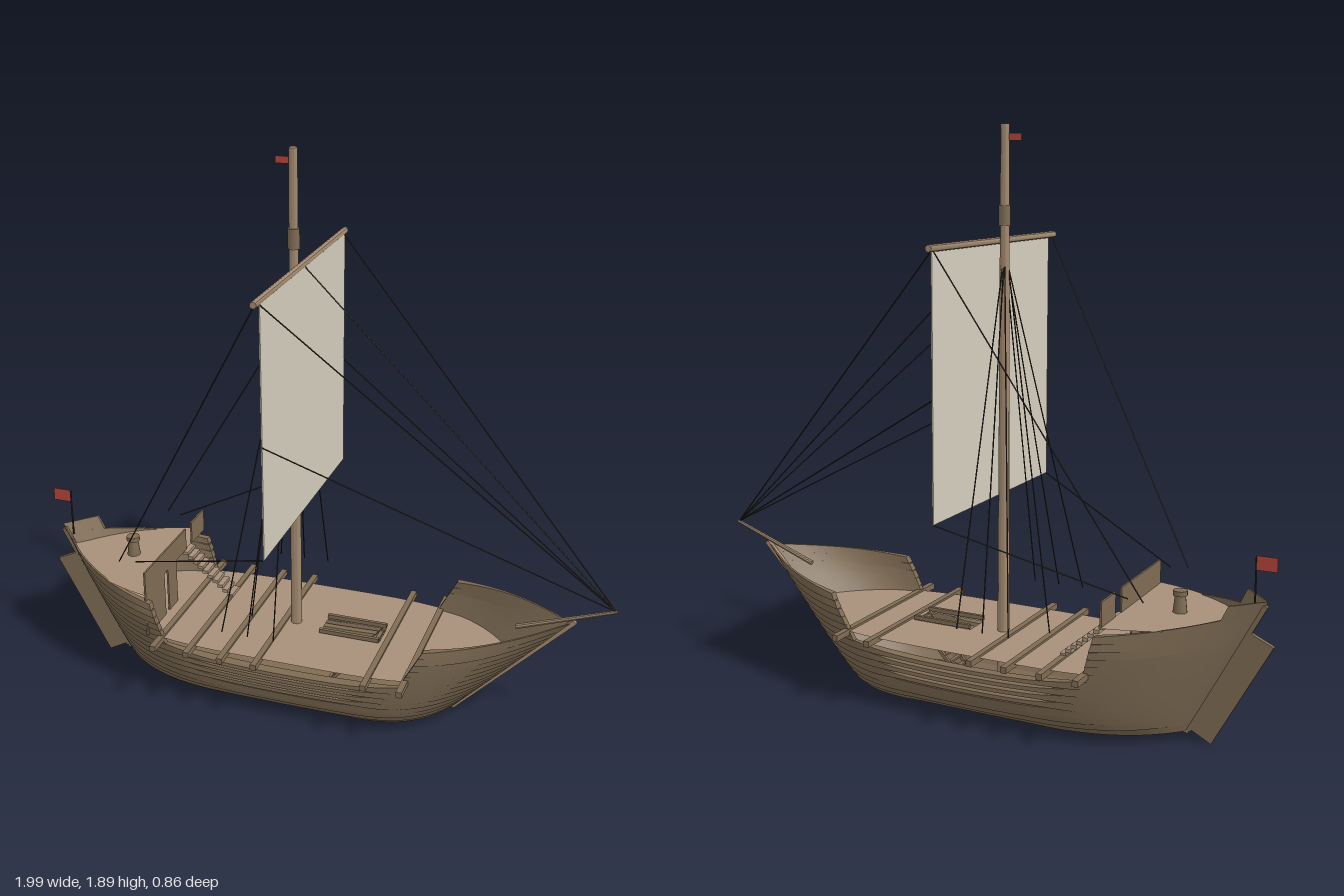
import * as THREE from 'three';
import { toCreasedNormals } from 'three/addons/utils/BufferGeometryUtils.js';

const mat = (name, color) => {
  const m = new THREE.MeshStandardMaterial({ color, side: THREE.DoubleSide });
  m.name = name;
  return m;
};

// Hull form: half-breadth, stem and stern rake, as functions of height
const CX = -0.05;
const bowX = y => 0.48 + 0.95 * (y - 0.03);
const sternX = y => -0.74 - 0.52 * (y - 0.03);
const breadth = y => 0.18 + 0.105 * Math.sqrt(Math.min(1, Math.max(0, (y - 0.03) / 0.3)));
function hullPoint(t, y) {
  const end = t > 0 ? bowX(y) : sternX(y);
  const p = t > 0 ? 5.6 - 5 * y : 4.3;
  const a = Math.abs(t);
  return [CX + a * (end - CX), y, breadth(y) * (1 - Math.pow(a, p))];
}

// Skin a list of equal-length closed rings
function loft(rings) {
  const n = rings[0].length, pos = rings.flat(2), idx = [];
  for (let i = 0; i < rings.length - 1; i++)
    for (let j = 0; j < n; j++) {
      const a = i * n + j, b = i * n + (j + 1) % n;
      idx.push(a, a + n, b, b, a + n, b + n);
    }
  const last = (rings.length - 1) * n;
  for (let j = 1; j < n - 1; j++) idx.push(0, j, j + 1, last, last + j + 1, last + j);
  const g = new THREE.BufferGeometry();
  g.setAttribute('position', new THREE.Float32BufferAttribute(pos, 3));
  g.setIndex(idx);
  return toCreasedNormals(g, 0.5);
}

// One plank between two stations; centre height, plank height and depth vary along it
function plank(t0, t1, side, yAt, hAt, dAt) {
  const rings = [], steps = Math.ceil((t1 - t0) * 24);
  for (let k = 0; k <= steps; k++) {
    const t = t0 + (t1 - t0) * k / steps, y = yAt(t), h = hAt(t), d = dAt(t);
    const lo = hullPoint(t, y - h / 2), hi = hullPoint(t, y + h / 2);
    const ring = [
      lo, [hi[0], hi[1], Math.max(0, hi[2] - 0.004)],
      [hi[0], hi[1], Math.max(0, hi[2] - d)], [lo[0], lo[1], Math.max(0, lo[2] - d)],
    ].map(p => [p[0], p[1], p[2] * side]);
    rings.push(side > 0 ? ring : ring.reverse());
  }
  return loft(rings);
}

// Flat deck following the hull outline at height y
function deckGeometry(y, t0, t1, hole) {
  const pts = [];
  for (let k = 0; k <= 48; k++) {
    const p = hullPoint(t0 + (t1 - t0) * k / 48, y);
    pts.push(new THREE.Vector2(p[0], Math.max(0, p[2] - 0.004)));
  }
  const lower = pts.map(p => new THREE.Vector2(p.x, -p.y)).reverse();
  const shape = new THREE.Shape([...pts, ...lower]);
  if (hole) shape.holes.push(new THREE.Path(hole.map(p => new THREE.Vector2(...p))));
  return new THREE.ShapeGeometry(shape).rotateX(-Math.PI / 2).translate(0, y, 0);
}

export function createModel() {
  const ship = new THREE.Group();
  ship.name = 'sailingShip';
  const hullWood = mat('hull wood', 0x7f6c54);
  const deckWood = mat('deck wood', 0xa8917a);
  const sparWood = mat('spar wood', 0xa28a70);
  const sailCloth = mat('sail cloth', 0xd6cfbe);
  const rope = mat('rope', 0x2e2822);
  const red = mat('flag red', 0xb5443a);

  const add = (name, geo, material, x = 0, y = 0, z = 0) => {
    const m = new THREE.Mesh(geo, material);
    m.name = name;
    m.position.set(x, y, z);
    ship.add(m);
    return m;
  };
  const box = (name, w, h, d, material, x, y, z) =>
    add(name, new THREE.BoxGeometry(w, h, d), material, x, y, z);
  // Round or square bar between two points
  const bar = (name, a, b, r, material, sides = 8, r2 = r) => {
    const A = new THREE.Vector3(...a), B = new THREE.Vector3(...b), dir = B.clone().sub(A);
    const g = new THREE.CylinderGeometry(r2, r, dir.length(), sides);
    if (sides === 4) g.rotateY(Math.PI / 4);
    const m = add(name, toCreasedNormals(g, 0.9), material);
    m.position.copy(A).add(B).multiplyScalar(0.5);
    m.quaternion.setFromUnitVectors(new THREE.Vector3(0, 1, 0), dir.normalize());
    return m;
  };

  // Hull planking: low planks are tight, upper ones open amidships, topmost only at the ends
  const smooth = THREE.MathUtils.smoothstep;
  for (let i = 0; i < 14; i++) {
    const mid = i < 4 ? 0.04 + 0.0165 * i : 0.015 + 0.025 * i;
    const yAt = t => {
      const end = 0.044 + (t > 0 ? 0.028 : 0.0305) * i;
      return mid + (end - mid) * t * t;
    };
    const midHeight = i < 4 ? 0.026 : 0.013;
    const blend = t => smooth(Math.abs(t), 0.3, 0.48 + 0.026 * i);
    const hAt = t => midHeight + (0.033 - midHeight) * blend(t);
    const dAt = t => 0.04 - 0.028 * blend(t);
    const spans = i < 8 ? [[-1, 1]] : [[-1, -0.54], [0.55, 1]];
    for (const side of [1, -1])
      for (const [a, b] of spans) add('hullPlank', plank(a, b, side, yAt, hAt, dAt), hullWood);
  }
  for (const side of [1, -1])
    add('sternBulwark', plank(-1, -0.9, side, () => 0.455, () => 0.06, () => 0.012), hullWood);
  add('hullBottom', deckGeometry(0.032, -1, 1), hullWood);

  // Keel, stem, sternpost and rudder
  bar('keel', [-0.74, 0.03, 0], [0.48, 0.03, 0], 0.011, sparWood, 4);
  bar('stem', [0.475, 0.03, 0], [0.86, 0.43, 0], 0.011, sparWood, 4);
  bar('sternpost', [-0.74, 0.03, 0], [-0.97, 0.47, 0], 0.011, hullWood, 4);
  const rudder = new THREE.Shape([[-1, 0.345], [-0.925, 0.38], [-0.74, 0.04], [-0.815, 0]]
    .map(p => new THREE.Vector2(...p)));
  add('rudder', new THREE.ExtrudeGeometry(rudder, { depth: 0.016, bevelEnabled: false }),
    hullWood, 0, 0, -0.008);

  // Decks and through-beams
  add('mainDeck', deckGeometry(0.25, -1, 1,
    [[0.01, -0.045], [0.22, -0.045], [0.22, 0.045], [0.01, 0.045]]), deckWood);
  const aftStart = -(-0.54 - CX) / (sternX(0.41) - CX);
  add('aftDeck', deckGeometry(0.41, -1, aftStart), deckWood);
  for (const x of [-0.49, -0.37, -0.25, -0.13, 0.245, 0.365])
    box('deckBeam', 0.02, 0.02, 0.64, hullWood, x, 0.247, 0);

  // Hatch with ladder below
  for (const z of [-0.05, 0.05]) {
    box('hatchCoaming', 0.21, 0.014, 0.012, hullWood, 0.115, 0.262, z);
    bar('hatchLadderRail', [0.215, 0.255, z * 0.8], [0.03, 0.045, z * 0.8], 0.008, hullWood, 4);
  }
  for (let k = 0; k < 10; k++)
    box('hatchLadderTread', 0.014, 0.006, 0.08, hullWood, 0.04 + k * 0.0185, 0.056 + k * 0.021, 0);

  // Aft castle: rail panels, bulkhead and stairs
  const panel = (name, z0, z1, y0, y1) =>
    box(name, 0.006, y1 - y0, Math.abs(z1 - z0), hullWood, -0.54, (y0 + y1) / 2, (z0 + z1) / 2);
  panel('aftRail', 0.25, -0.09, 0.41, 0.49);
  panel('aftRail', -0.14, -0.25, 0.41, 0.49);
  panel('bulkhead', 0.25, 0.1, 0.25, 0.41);
  panel('bulkhead', 0.07, 0, 0.25, 0.41);
  for (let k = 0; k < 10; k++)
    box('stairTread', 0.02, 0.012, 0.065, deckWood, -0.535 + k * 0.0185, 0.4 - k * 0.0158, -0.107);

  // Capstan
  add('capstan', new THREE.CylinderGeometry(0.017, 0.023, 0.055, 12), hullWood, -0.7, 0.437, 0);
  add('capstanHead', new THREE.CylinderGeometry(0.023, 0.023, 0.016, 12), hullWood, -0.7, 0.472, 0);

  // Mast, yard, bowsprit and sail
  bar('mast', [-0.09, 0.08, 0], [-0.09, 1.89, 0], 0.02, sparWood, 12, 0.014);
  add('mastCollar', new THREE.CylinderGeometry(0.02, 0.02, 0.065, 8), hullWood, -0.09, 1.61, 0);
  bar('yard', [-0.06, 1.53, -0.43], [-0.06, 1.53, 0.43], 0.011, sparWood);
  bar('bowsprit', [0.67, 0.375, 0], [0.99, 0.49, 0], 0.009, sparWood, 8, 0.006);
  box('sail', 0.004, 0.825, 0.8, sailCloth, -0.053, 1.1125, 0);

  // Flags
  bar('flagpole', [-0.935, 0.45, 0], [-0.935, 0.62, 0], 0.003, rope, 6);
  box('sternFlag', 0.065, 0.045, 0.003, red, -0.968, 0.6, 0);
  box('mastFlag', 0.05, 0.022, 0.003, red, -0.122, 1.85, 0);

  // Rigging
  const line = (name, a, b) => bar(name, a, b, 0.0022, rope, 5);
  line('forestay', [-0.06, 1.53, 0], [0.985, 0.49, 0]);
  for (const s of [1, -1]) {
    line('yardStay', [-0.06, 1.53, 0.4 * s], [0.985, 0.49, 0]);
    line('bowline', [-0.053, 1.08, 0.4 * s], [0.985, 0.49, 0]);
    line('brace', [-0.06, 1.53, 0.41 * s], [-0.655, 0.49, 0.2 * s]);
    line('sheet', [-0.053, 0.7, 0.4 * s], [-0.6, 0.49, 0.185 * s]);
    for (const x of [-0.25, -0.16, -0.07])
      line('shroud', [-0.09, 1.5, 0], [x, 0.34, 0.285 * s]);
  }
  line('halyard', [-0.09, 1.55, 0], [-0.245, 0.25, 0.03]);
  return ship;
}
